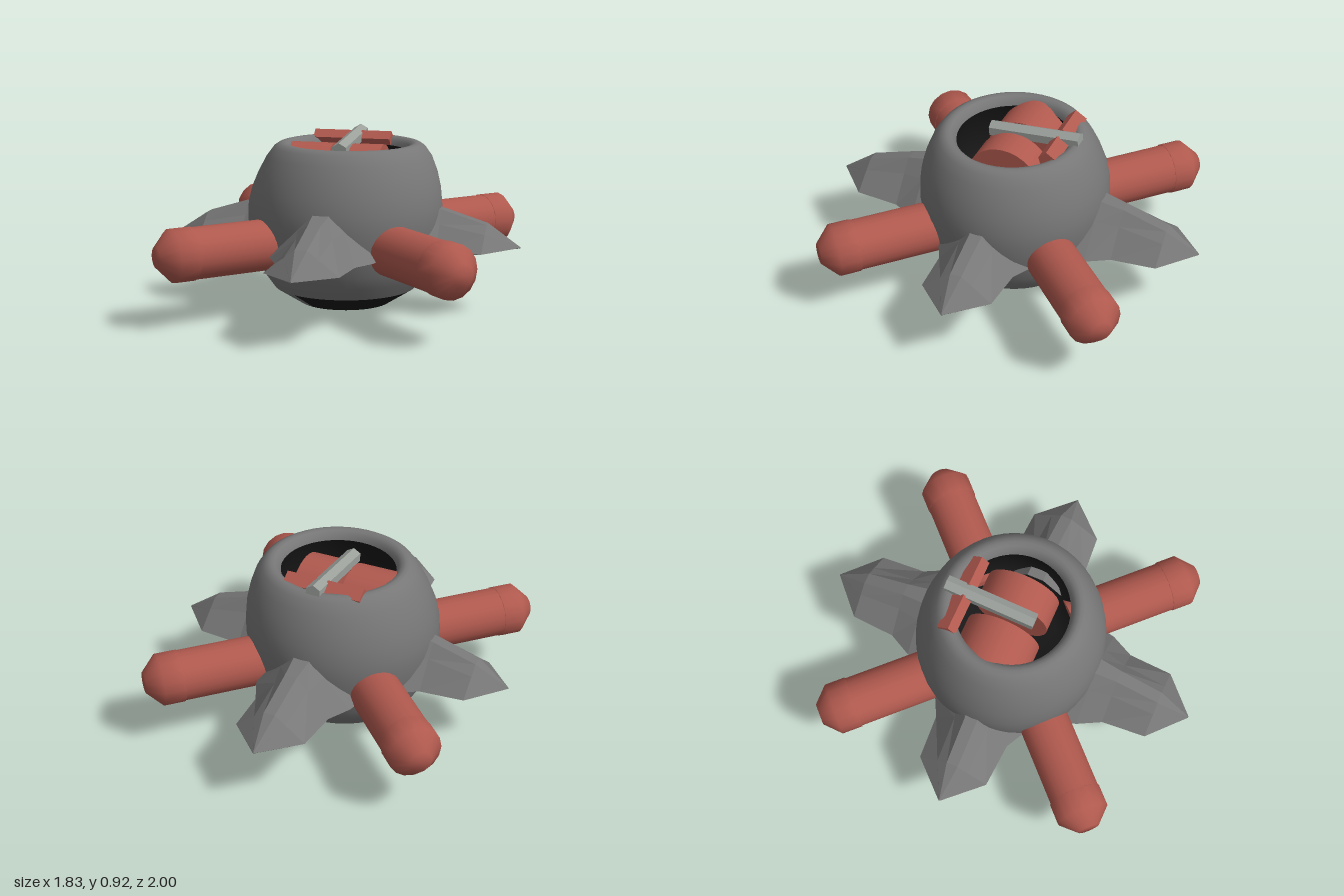
import * as THREE from 'three';

const mat = (color, flatShading = false) =>
  new THREE.MeshStandardMaterial({ color, flatShading, side: THREE.DoubleSide });
const grey = mat(0x777777), fin = mat(0x777777, true), steel = mat(0x9a9f9a, true);
const red = mat(0xb0594e), redFlat = mat(0xb0594e, true), black = mat(0x181818);

function add(parent, name, geometry, material) {
  const mesh = new THREE.Mesh(geometry, material);
  mesh.name = name;
  parent.add(mesh);
  return mesh;
}

// Turned shell, slightly wider in x, its mouth leaning a little to +x
function shell(points, start = 0, sweep = Math.PI * 2, segments = 48) {
  const g = new THREE.LatheGeometry(points.map(p => new THREE.Vector2(...p)), segments, start, sweep);
  const pos = g.attributes.position;
  for (let i = 0; i < pos.count; i++) {
    const lean = 0.025 * THREE.MathUtils.smoothstep(pos.getY(i), 0.5, 0.87);
    pos.setX(i, pos.getX(i) * 1.03 + lean);
  }
  return g;
}

// Faceted fin pointing along +z, skinned over cross-sections
function finGeometry(shift) {
  // distance, half width, edge height, top height, bottom height
  const sections = [
    [0.40, 0.28, 0.345, 0.585, 0.265], [0.48, 0.262, 0.347, 0.572, 0.27], [0.60, 0.2, 0.35, 0.545, 0.3],
    [0.83, 0.185, 0.355, 0.475, 0.33], [1.0, 0.004, 0.36, 0.364, 0.357]];
  const rings = sections.map(([d, w, e, t, b]) => [
    [-w, e], [-0.45 * w, e + 0.66 * (t - e)], [-0.16 * w, t], [0.16 * w, t],
    [0.45 * w, e + 0.66 * (t - e)], [w, e], [0, b]].map(([x, y]) => [x, y, d + shift]));
  const out = [], n = 7;
  for (let s = 0; s < rings.length - 1; s++) {
    for (let i = 0; i < n; i++) {
      const j = (i + 1) % n, a = rings[s][i], b = rings[s][j], c = rings[s + 1][j], d = rings[s + 1][i];
      out.push(...a, ...d, ...c, ...a, ...c, ...b);
    }
  }
  const tip = rings[rings.length - 1];
  for (let i = 1; i < n - 1; i++) out.push(...tip[0], ...tip[i + 1], ...tip[i]);
  const g = new THREE.BufferGeometry();
  g.setAttribute('position', new THREE.Float32BufferAttribute(out, 3));
  g.computeVertexNormals();
  return g;
}

export function createModel() {
  const model = new THREE.Group();
  model.name = 'finnedPod';

  // Round body with a rolled rim and a dark hollow
  add(model, 'body', shell([[0.36, 0.12], [0.405, 0.185], [0.44, 0.25], [0.475, 0.36], [0.49, 0.48],
    [0.488, 0.56], [0.475, 0.64], [0.45, 0.72], [0.415, 0.8], [0.38, 0.85], [0.355, 0.867], [0.335, 0.872],
    [0.315, 0.868], [0.296, 0.85], [0.287, 0.825]]), grey);
  add(model, 'hollow', shell([[0, 0.3], [0.25, 0.36], [0.36, 0.5], [0.35, 0.68], [0.287, 0.825]]), black);

  // Underside: dark cap with one grey sector
  const deg = Math.PI / 180, skirt = [[0.23, 0.035], [0.36, 0.12]];
  add(model, 'bottomCap', shell([[0, 0.005], [0.23, 0.035]]), black);
  add(model, 'bottomSkirt', shell(skirt, -30 * deg, 330 * deg, 44), black);
  add(model, 'bottomSkirtPatch', shell(skirt, -60 * deg, 30 * deg, 4), grey);

  // Four fins, the side ones seated deeper
  ['frontFin', 'leftFin', 'backFin', 'rightFin'].forEach((name, i) => {
    add(model, name, finGeometry(i % 2 ? -0.085 : 0), fin).rotation.y = i * Math.PI / 2;
  });

  // Four diagonal arms with rounded, eight-sided end caps
  const capProfile = [[0.128, -0.055], [0.135, -0.052], [0.135, 0.055], [0.055, 0.133], [0, 0.133]]
    .map(p => new THREE.Vector2(...p));
  for (let i = 0; i < 4; i++) {
    const arm = new THREE.Group();
    arm.name = 'arm' + (i + 1);
    arm.position.y = 0.38;
    arm.rotation.y = Math.PI / 4 + i * Math.PI / 2;
    const tube = new THREE.CylinderGeometry(0.13, 0.13, 0.6, 24).rotateX(Math.PI / 2).translate(0, 0, 0.63);
    add(arm, 'armTube', tube, red);
    const cap = new THREE.LatheGeometry(capProfile, 16).rotateX(Math.PI / 2).translate(0, 0, 0.93);
    add(arm, 'armCap', cap, red);
    model.add(arm);
  }

  // Pair of red drums lying inside the mouth
  for (const [name, x0, x1] of [['rightDrum', -0.29, -0.06], ['leftDrum', 0.04, 0.2]]) {
    const drum = new THREE.CylinderGeometry(0.195, 0.195, x1 - x0, 32).rotateZ(Math.PI / 2);
    add(model, name, drum, red).position.set((x0 + x1) / 2, 0.665, -0.015);
  }

  // Tent-shaped crossbar in two halves
  const tent = new THREE.Shape([[0.2, 0.862], [0.24, 0.9], [0.3, 0.862], [0.28, 0.83], [0.21, 0.83]]
    .map(p => new THREE.Vector2(...p)));
  for (const [name, x0, x1] of [['rightCrossbar', -0.225, -0.03], ['leftCrossbar', 0.03, 0.19]]) {
    const g = new THREE.ExtrudeGeometry(tent, { depth: x1 - x0, bevelEnabled: false });
    add(model, name, g.rotateY(Math.PI / 2).translate(x0, 0, 0), redFlat);
  }

  // Tilted six-sided lever over the mouth
  const lever = new THREE.CylinderGeometry(0.043, 0.043, 0.48, 6).rotateX(Math.PI / 2);
  const bar = add(model, 'lever', lever, steel);
  bar.position.set(0, 0.857, -0.11);
  bar.rotation.x = 0.085;
  return model;
}
